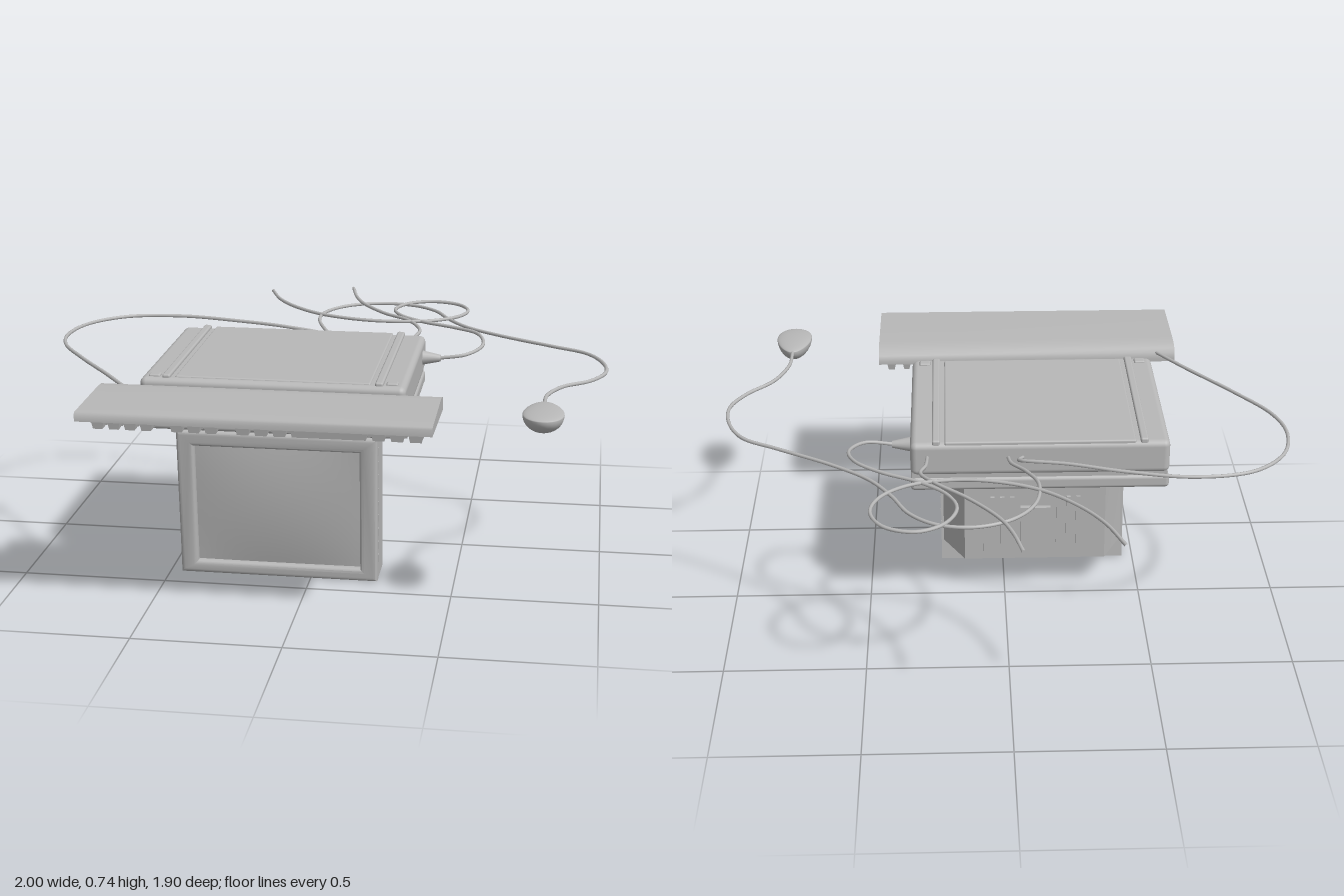
import * as THREE from 'three';
import { mergeGeometries, toCreasedNormals } from 'three/addons/utils/BufferGeometryUtils.js';
import { RoundedBoxGeometry } from 'three/addons/geometries/RoundedBoxGeometry.js';

const grey = new THREE.MeshStandardMaterial({ color: 0xb8b8b8 });
grey.name = 'plastic grey';

const CX = -0.1125; // centre line of monitor and case

function add(parent, name, geometry) {
  const mesh = new THREE.Mesh(geometry, grey);
  mesh.name = name;
  parent.add(mesh);
}

// Box given by its limits, optionally rounded
function box(x0, x1, y0, y1, z0, z1, r = 0) {
  const s = [x1 - x0, y1 - y0, z1 - z0];
  const g = r ? new RoundedBoxGeometry(...s, 3, r) : new THREE.BoxGeometry(...s);
  return g.translate((x0 + x1) / 2, (y0 + y1) / 2, (z0 + z1) / 2);
}

// Moves every vertex by a rule
function reshape(g, rule) {
  const p = g.attributes.position, v = new THREE.Vector3();
  for (let i = 0; i < p.count; i++) {
    rule(v.fromBufferAttribute(p, i));
    p.setXYZ(i, v.x, v.y, v.z);
  }
  g.computeVertexNormals();
  return g;
}

// Side profile of [z, y] points extruded from x0 to x1
function extrudeX(points, x0, x1) {
  const shape = new THREE.Shape(points.map(([z, y]) => new THREE.Vector2(-z, y)));
  const g = new THREE.ExtrudeGeometry(shape, { depth: x1 - x0, bevelEnabled: false });
  return toCreasedNormals(g.rotateY(Math.PI / 2).translate(x0, 0, 0), 0.7);
}

function rectangle(Type, x0, x1, y0, y1) {
  return new Type([[x0, y0], [x1, y0], [x1, y1], [x0, y1]].map(p => new THREE.Vector2(...p)));
}

function makeMonitor() {
  const g = new THREE.Group();
  g.name = 'monitor';
  const lean = v => { v.z += 0.41 + 0.085 * v.y; };

  // Bevelled frame around the recessed screen
  const frame = rectangle(THREE.Shape, -0.445, 0.22, 0.017, 0.523);
  frame.holes.push(rectangle(THREE.Path, -0.415, 0.19, 0.032, 0.498));
  const frameGeo = new THREE.ExtrudeGeometry(frame, {
    depth: 0.03, bevelSize: 0.015, bevelThickness: 0.012, bevelSegments: 3,
  }).translate(0, 0, -0.042);
  add(g, 'screen frame', toCreasedNormals(reshape(frameGeo, lean), 0.6));
  add(g, 'monitor shell', reshape(box(-0.46, 0.235, 0.005, 0.535, -0.16, -0.035), v => {
    if (v.z < -0.1) v.z -= 0.012 * v.y / 0.53;
    lean(v);
  }));

  // Gently bulging glass
  const glass = new THREE.PlaneGeometry(0.61, 0.47, 16, 12).translate(CX, 0.265, 0);
  add(g, 'screen', reshape(glass, v => {
    const u = (v.x - CX) / 0.305, w = (v.y - 0.265) / 0.235;
    v.z = -0.032 + 0.02 * (1 - u * u) * (1 - w * w);
    lean(v);
  }));

  // Tapered tube housing
  add(g, 'tube housing', reshape(new THREE.BoxGeometry(1, 1, 1), v => {
    const back = v.z < 0, top = v.y > 0;
    v.x = CX + Math.sign(v.x) * (back ? 0.26 : 0.34);
    v.y = back ? (top ? 0.455 : 0.125) : (top ? 0.51 : 0.085);
    v.z = back ? 0.042 : (top ? 0.29 : 0.26);
  }));

  // Rear vent panel with ribs and a socket block
  add(g, 'vent panel', box(CX - 0.19, CX + 0.19, 0.165, 0.45, 0.018, 0.045));
  for (const side of [-1, 1]) for (let i = 0; i < 3; i++) {
    const x = CX + side * (0.085 + i * 0.036);
    add(g, 'vent rib', box(x - 0.008, x + 0.008, 0.205, 0.40, 0.008, 0.02));
  }
  add(g, 'socket block', box(CX - 0.055, CX + 0.055, 0.21, 0.36, 0, 0.02));

  // Small vents along the frame side
  for (let i = 0; i < 9; i++) {
    const y = 0.07 + i * 0.05, z = 0.375 + 0.085 * y;
    add(g, 'side vent', box(0.234, 0.238, y, y + 0.028, z, z + 0.006));
  }
  add(g, 'swivel foot', box(-0.34, 0.115, 0.525, 0.565, 0.26, 0.42, 0.012));
  return g;
}

function makeCase() {
  const g = new THREE.Group();
  g.name = 'computer case';
  add(g, 'lower tray', box(-0.57, 0.335, 0.555, 0.604, -0.22, 0.5, 0.014));
  add(g, 'seam', box(-0.563, 0.328, 0.59, 0.625, -0.212, 0.49));
  add(g, 'upper cover', box(-0.57, 0.335, 0.611, 0.735, -0.218, 0.5, 0.022));
  add(g, 'top panel', box(-0.45, 0.215, 0.72, 0.74, -0.212, 0.475, 0.006));
  // Long ridges and front corner feet on both sides
  for (const s of [-1, 1]) {
    const c = -0.1175;
    const ridge = c + s * 0.362, foot = c + s * 0.405;
    add(g, 'top ridge', box(ridge - 0.014, ridge + 0.014, 0.72, 0.746, -0.212, 0.485, 0.007));
    add(g, 'corner foot', box(foot - 0.02, foot + 0.02, 0.72, 0.742, 0.44, 0.475, 0.006));
  }
  // Front slot and buttons
  add(g, 'drive slot', box(0.07, 0.2, 0.636, 0.644, 0.495, 0.504));
  for (let i = 0; i < 4; i++) {
    const button = new THREE.CylinderGeometry(0.011, 0.011, 0.012, 16).rotateX(Math.PI / 2);
    add(g, 'front button', button.translate(0.21 + i * 0.032, 0.58, 0.5));
  }
  // Side plug
  add(g, 'side plug', new THREE.CylinderGeometry(0.012, 0.026, 0.065, 16)
    .rotateZ(-Math.PI / 2).translate(0.368, 0.68, -0.1));
  return g;
}

function makeKeyboard() {
  const g = new THREE.Group();
  g.name = 'keyboard';
  add(g, 'keyboard body', extrudeX([
    [0.945, 0.735], [0.94, 0.742], [0.65, 0.746], [0.61, 0.743], [0.58, 0.734],
    [0.565, 0.72], [0.56, 0.70], [0.56, 0.687], [0.945, 0.712],
  ], -0.67, 0.465));

  // Tapered keys hanging below the body
  const keys = [];
  const key = (x0, x1, z) => {
    const base = 0.712 - (0.945 - z) * 0.065;
    const mid = (x0 + x1) / 2, half = (x1 - x0) / 2 - 0.004;
    keys.push(reshape(new THREE.BoxGeometry(1, 1, 1), v => {
      const low = v.y < 0;
      v.x = mid + Math.sign(v.x) * (half - (low ? 0.007 : 0));
      v.z = z + Math.sign(v.z) * (low ? 0.017 : 0.023);
      v.y = low ? base - 0.029 : base + 0.005;
    }));
  };
  const row = (x0, x1, n, z) => {
    const w = (x1 - x0) / n;
    for (let i = 0; i < n; i++) key(x0 + i * w, x0 + (i + 1) * w, z);
  };
  const rows = [0.592, 0.68, 0.733, 0.786, 0.839, 0.892];
  // Back row in groups
  for (const x of [-0.375, -0.16, 0.035, 0.215]) row(x, x + 0.165, x < -0.3 ? 3 : 4, rows[0]);
  key(0.395, 0.44, rows[0]);
  // Main block
  row(-0.165, 0.44, 14, rows[1]);
  row(-0.165, 0.44, 14, rows[2]);
  row(-0.165, 0.44, 13, rows[3]);
  row(-0.165, 0.44, 12, rows[4]);
  row(-0.165, 0.01, 3, rows[5]);
  key(0.01, 0.265, rows[5]);
  row(0.265, 0.44, 3, rows[5]);
  // Navigation and number blocks
  for (const i of [1, 2, 5]) row(-0.375, -0.21, 3, rows[i]);
  key(-0.32, -0.265, rows[4]);
  for (let i = 1; i < 6; i++) row(-0.63, -0.42, 4, rows[i]);
  add(g, 'keys', mergeGeometries(keys));
  return g;
}

// Egg-shaped mouse, flat side up
function makeMouse() {
  const egg = new THREE.SphereGeometry(1, 32, 24);
  return reshape(egg, v => {
    v.x = 0.796 + v.x * 0.065 * (1 + 0.22 * v.z);
    v.y = 0.732 + (v.y > 0 ? v.y * 0.013 : v.y * 0.06);
    v.z = 0.696 + v.z * 0.113;
  });
}

// Cable through [x, z] points, its height eased from start to end
function cable(points, yStart, yEnd, yMid) {
  const n = points.length - 1;
  const curve = new THREE.CatmullRomCurve3(points.map(([x, z], i) => {
    const a = Math.max(0, 1 - i / 3), b = Math.max(0, 1 - (n - i) / 3);
    return new THREE.Vector3(x, yMid + (yStart - yMid) * a + (yEnd - yMid) * b, z);
  }), false, 'centripetal');
  return new THREE.TubeGeometry(curve, n * 9, 0.0065, 8);
}

export function createModel() {
  const model = new THREE.Group();
  model.name = 'desktop computer';
  model.add(makeMonitor(), makeCase(), makeKeyboard());
  add(model, 'mouse', makeMouse());

  add(model, 'keyboardCable', cable([
    [-0.6, 0.57], [-0.7, 0.42], [-0.85, 0.21], [-0.96, 0.03], [-0.99, -0.12], [-0.95, -0.29],
    [-0.83, -0.41], [-0.63, -0.445], [-0.4, -0.4], [-0.2, -0.335], [-0.05, -0.285],
    [-0.04, -0.255], [-0.06, -0.21],
  ], 0.72, 0.68, 0.716));
  add(model, 'mouseCable', cable([
    [0.795, 0.59], [0.8, 0.48], [0.85, 0.35], [0.94, 0.25], [0.99, 0.14], [0.98, 0.01],
    [0.92, -0.11], [0.8, -0.19], [0.6, -0.32], [0.47, -0.43], [0.39, -0.55], [0.33, -0.67],
    [0.24, -0.745], [0.12, -0.765], [0, -0.72], [-0.08, -0.62], [-0.1, -0.48], [-0.06, -0.36],
    [-0.015, -0.28], [-0.005, -0.21],
  ], 0.73, 0.68, 0.716));
  add(model, 'loopedCable', cable([
    [0.39, -0.1], [0.49, -0.11], [0.545, -0.2], [0.52, -0.31], [0.43, -0.39], [0.3, -0.465],
    [0.21, -0.55], [0.175, -0.65], [0.22, -0.755], [0.31, -0.8], [0.41, -0.765], [0.457, -0.67],
    [0.43, -0.57], [0.34, -0.49], [0.2, -0.455], [0.06, -0.465], [-0.1, -0.53], [-0.22, -0.64],
    [-0.3, -0.76], [-0.355, -0.905],
  ], 0.68, 0.72, 0.722));
  add(model, 'powerCable', cable([
    [0.275, -0.21], [0.28, -0.3], [0.297, -0.38], [0.25, -0.47], [0.14, -0.58], [0.04, -0.72],
    [0, -0.82], [-0.03, -0.95],
  ], 0.685, 0.73, 0.722));
  return model;
}
